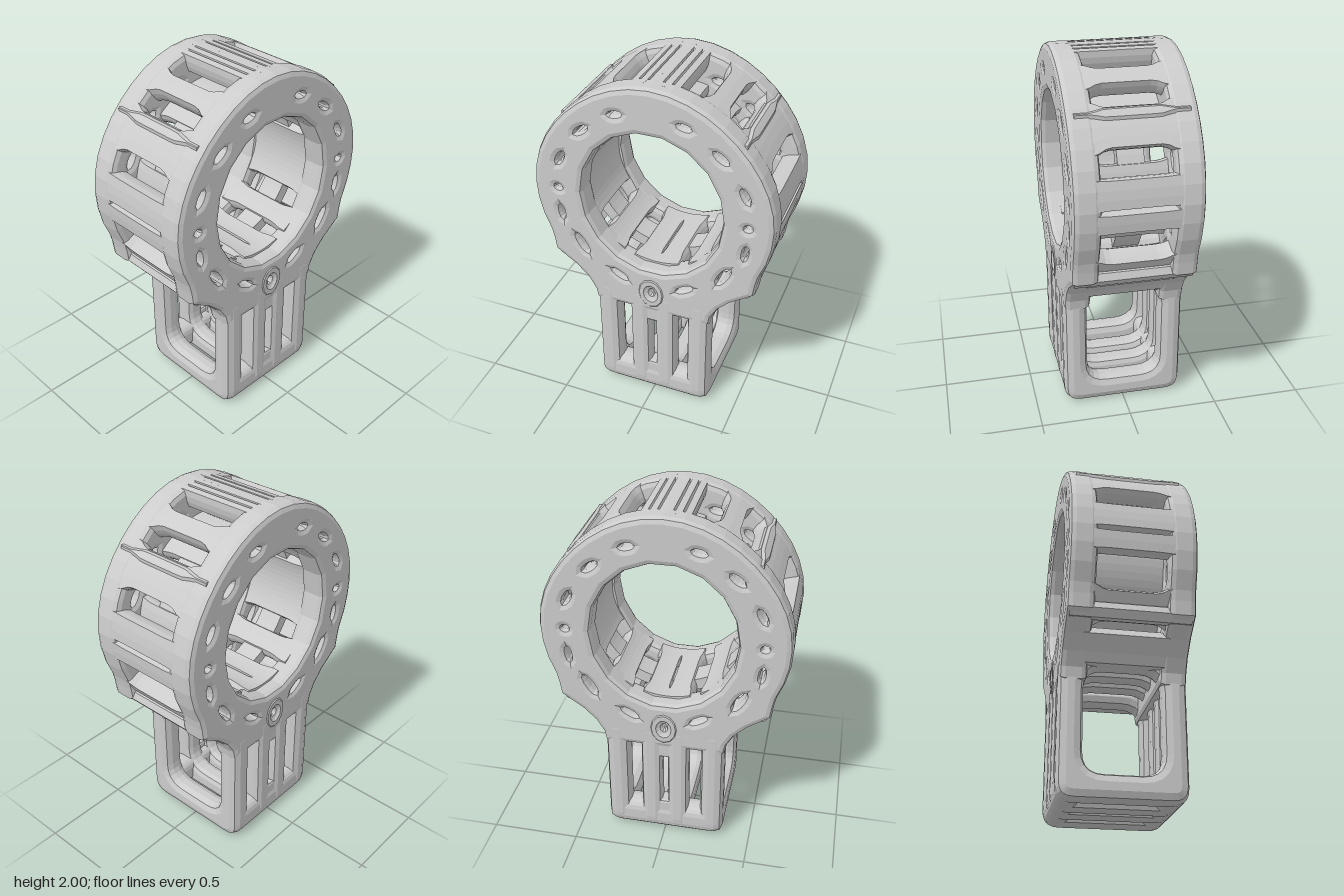
import * as THREE from 'three';
import { RoundedBoxGeometry } from 'three/addons/geometries/RoundedBoxGeometry.js';

const CY = 1.33; // height of the ring's axis
const rad = THREE.MathUtils.degToRad;
const mat = new THREE.MeshStandardMaterial({ color: 0xcccccc, flatShading: true });

// The ring is slightly flattened on its upper diagonals
const dip = a => (a > 0 && a < Math.PI ? 0.016 * Math.sin(2 * a) ** 2 : 0);

function add(group, name, geo) {
  const m = new THREE.Mesh(geo, mat);
  m.name = name;
  group.add(m);
  return m;
}

const toPoints = list => list.map(p => new THREE.Vector2(...p));

function extrude(shape, depth, bevel) {
  return new THREE.ExtrudeGeometry(shape, {
    depth: depth - 2 * bevel, bevelThickness: bevel, bevelSize: bevel,
    bevelOffset: -bevel, bevelSegments: 2, curveSegments: 5, steps: 1,
  }).translate(0, 0, bevel - depth / 2);
}

function roundRect(S, x0, y0, x1, y1, r) {
  const s = new S();
  s.moveTo(x0 + r, y0).lineTo(x1 - r, y0).quadraticCurveTo(x1, y0, x1, y0 + r);
  s.lineTo(x1, y1 - r).quadraticCurveTo(x1, y1, x1 - r, y1);
  s.lineTo(x0 + r, y1).quadraticCurveTo(x0, y1, x0, y1 - r);
  s.lineTo(x0, y0 + r).quadraticCurveTo(x0, y0, x0 + r, y0);
  return s;
}

function ovalHole(x, y, a, b, rot, n = 10) {
  const pts = [];
  for (let i = 0; i < n; i++) {
    const t = (i / n) * Math.PI * 2, u = a * Math.cos(t), v = b * Math.sin(t);
    pts.push([x + u * Math.cos(rot) - v * Math.sin(rot), y + u * Math.sin(rot) + v * Math.cos(rot)]);
  }
  return new THREE.Path(toPoints(pts));
}

// Crossbar bent round the ring's axis from angle a0 to a1, widened towards its
// ends by flare degrees, with its long edges chamfered
function arcBar(r0, r1, a0, a1, halfX, flare = 0, chamfer = 1) {
  const g = new THREE.BoxGeometry(2 * halfX, 2, r1 - r0, 16, Math.max(2, Math.ceil((a1 - a0) / 5)), 3);
  const p = g.attributes.position;
  for (let i = 0; i < p.count; i++) {
    const x = p.getX(i), v = p.getY(i), z = p.getZ(i);
    const wide = THREE.MathUtils.smoothstep(Math.abs(x), 0.13, 0.22) * flare;
    const face = Math.abs(z) > (r1 - r0) * 0.4 ? chamfer : 0;
    const th = rad((a0 + a1) / 2 + v * ((a1 - a0) / 2 + wide - face));
    const r = (r0 + r1) / 2 + z;
    const bent = r - dip(th) * (r - 0.42) / 0.25;
    p.setXYZ(i, x, CY + bent * Math.sin(th), bent * Math.cos(th));
  }
  g.computeVertexNormals();
  return g;
}

// Side wall: annulus flowing through shoulders into the shank
function sidePlateGeometry() {
  const pts = [];
  for (let i = 0; i <= 26; i++) {
    const a = rad(-26 + (232 * i) / 26), r = 0.672 - dip(a);
    pts.push([r * Math.cos(a), CY + r * Math.sin(a)]);
  }
  const shoulder = [[0.592, 0.98], [0.582, 0.905], [0.53, 0.868], [0.46, 0.82], [0.39, 0.75], [0.35, 0.68], [0.338, 0.62]];
  shoulder.forEach(([u, v]) => pts.push([-u, v]));
  shoulder.reverse().forEach(([u, v]) => pts.push([u, v]));
  const shape = new THREE.Shape(toPoints(pts));
  shape.holes.push(ovalHole(0, 1.325, 0.395, 0.425, 0, 18), ovalHole(0, 0.755, 0.012, 0.02, 0));
  // [angle, radius, half length, half width]
  const slots = [[0, 0.53, 0.014, 0.018], [20, 0.54, 0.042, 0.014], [-17, 0.545, 0.042, 0.012],
    [45, 0.53, 0.042, 0.014], [70, 0.535, 0.034, 0.012], [-40, 0.535, 0.065, 0.018], [-69, 0.535, 0.05, 0.013]];
  for (const [a, r, l, w] of slots) for (const s of [1, -1]) {
    const t = rad(a);
    shape.holes.push(ovalHole(s * r * Math.cos(t), CY + r * Math.sin(t), l, w, s * (t + Math.PI / 2 + 0.15)));
  }
  return extrude(shape, 0.148, 0.032).rotateY(Math.PI / 2);
}

export function createModel() {
  const model = new THREE.Group();

  // Side walls with a raised oval eyelet under the bore
  const plate = sidePlateGeometry();
  for (const s of [1, -1]) {
    add(model, 'sideWall', plate).position.x = s * 0.262;
    const eye = add(model, 'eyelet', new THREE.TorusGeometry(0.056, 0.024, 6, 12).scale(1, 1.3, 0.6).rotateY(Math.PI / 2));
    eye.position.set(s * 0.329, 0.755, 0);
  }

  // Ring: [start, end, flare] angles of the outer and inner crossbars on each half
  const outer = [[-43, -28, 3], [-10.5, -0.7, 0.3], [0.7, 14.5, 0.3], [27, 46, 3], [57, 67, 3]];
  const inner = [[-90, -73, 2], [-62, -44, 2], [-31, 20.5, 2], [30, 43, 2], [51, 66, 2], [74.5, 90, 0.5]];
  for (const turn of [0, Math.PI]) {
    const half = new THREE.Group();
    half.name = turn ? 'backHalf' : 'frontHalf';
    half.rotation.y = turn;
    for (const [a, b, flare] of outer) add(half, 'outerCrossbar', arcBar(0.57, 0.668, a, b, 0.25, flare, 0.6));
    for (const [a, b, flare] of inner) add(half, 'innerCrossbar', arcBar(0.412, 0.495, a, b, 0.25, flare));
    add(half, 'innerHoop', arcBar(0.425, 0.49, -90, 90, 0.07, 0, 0));
    // Narrow bars across the crown
    for (const a of [78.5, 82.5, 86.5]) add(half, 'crownBar', arcBar(0.57, 0.67, a, a + 4.2, 0.26, 0, 0.6));
    // Raised ridges on the upper diagonal and at the shoulder
    add(half, 'upperRidge', arcBar(0.61, 0.682, 38.5, 46, 0.29, -1.5, 2));
    add(half, 'shoulderRidge', arcBar(0.61, 0.712, -42, -34, 0.315, 0, 2));
    // Curved rail joining the shoulders above the window
    const rail = [[0.23, 0.71], [0.345, 0.7], [0.36, 0.705], [0.39, 0.752], [0.465, 0.822], [0.44, 0.865], [0.32, 0.81], [0.23, 0.78]];
    add(half, 'shoulderRail', extrude(new THREE.Shape(toPoints(rail.map(([z, y]) => [-z, y]))), 0.5, 0.008).rotateY(Math.PI / 2));
    model.add(half);
  }

  // Shank: window frames at front and back, slimmer frames between them
  const frame = (top, hx, hy0, hy1, r) => {
    const s = roundRect(THREE.Shape, -0.337, 0, 0.337, top, 0.09);
    s.holes.push(roundRect(THREE.Path, -hx, hy0, hx, hy1, r));
    return s;
  };
  const windowFrame = extrude(frame(0.8, 0.205, 0.14, 0.7, 0.11), 0.135, 0.048);
  const slimFrame = extrude(frame(0.8, 0.22, 0.12, 0.72, 0.12), 0.118, 0.036);
  for (const s of [1, -1]) {
    add(model, 'windowFrame', windowFrame).position.z = s * 0.272;
    add(model, 'slimFrame', slimFrame).position.z = s * 0.076;
    // Lower corners tying the frames together
    const foot = add(model, 'footBlock', new RoundedBoxGeometry(0.14, 0.18, 0.64, 2, 0.06));
    foot.position.set(s * 0.263, 0.094, 0);
    // Ends of the narrow middle slot
    for (const [y, h] of [[0.17, 0.1], [0.61, 0.13]]) {
      const web = add(model, 'slotWeb', new RoundedBoxGeometry(0.09, h, 0.09, 1, 0.015));
      web.position.set(s * 0.282, y, 0);
    }
  }
  return model;
}
